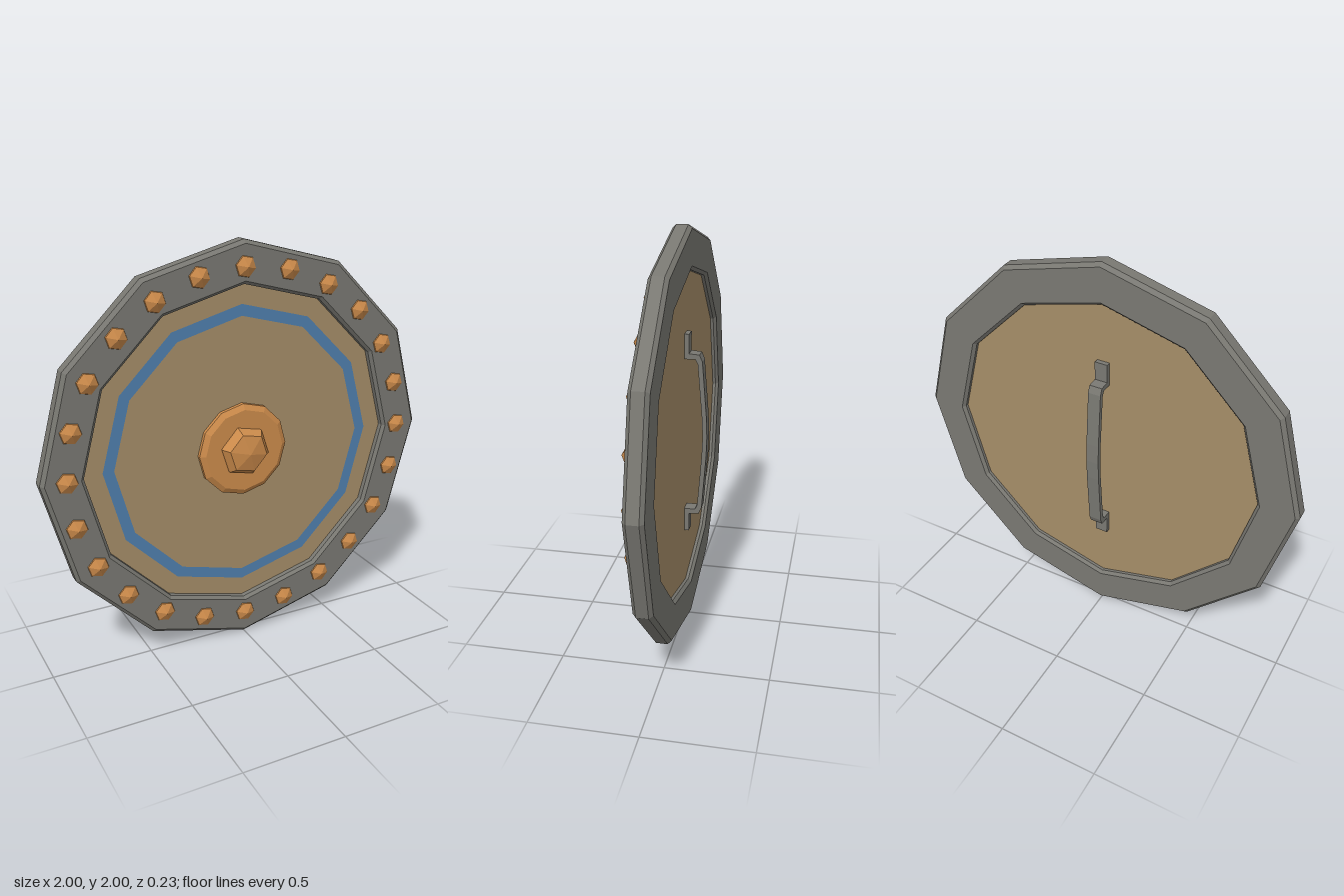
import * as THREE from 'three';

const steel = new THREE.MeshStandardMaterial({ name: 'steel grey', color: 0x797872 });
const wood = new THREE.MeshStandardMaterial({ name: 'wood tan', color: 0xa58d68 });
const copper = new THREE.MeshStandardMaterial({ name: 'copper', color: 0xcc8b4b });
const blue = new THREE.MeshStandardMaterial({ name: 'blue paint', color: 0x4f7fae });

// Faceted turned solid around the z axis; profile is [radius, z], outside edge running forward
function turned(profile, sides, turn = 0) {
  const points = profile.map(([r, z]) => new THREE.Vector2(r, z));
  const geometry = new THREE.LatheGeometry(points, sides).rotateX(Math.PI / 2).rotateZ(turn).toNonIndexed();
  geometry.computeVertexNormals();
  return geometry;
}

function add(parent, name, geometry, material) {
  const mesh = new THREE.Mesh(geometry, material);
  mesh.name = name;
  parent.add(mesh);
  return mesh;
}

export function createModel() {
  const model = new THREE.Group();
  model.name = 'roundShield';
  const shield = new THREE.Group();
  shield.name = 'shieldBody';
  shield.position.y = 1;
  model.add(shield);

  // Bevelled twelve-sided rim
  add(shield, 'rim', turned([
    [0.8, -0.02], [0.815, -0.035], [0.982, -0.035], [1, -0.018],
    [1, 0.038], [0.982, 0.055], [0.815, 0.055], [0.8, 0.04], [0.8, -0.02],
  ], 12), steel);

  // Recessed board and its painted ring
  add(shield, 'board', turned([[0, -0.005], [0.802, -0.005], [0.802, 0.015], [0, 0.015]], 12), wood);
  const stripe = add(shield, 'paintedRing', new THREE.RingGeometry(0.65, 0.705, 12), blue);
  stripe.position.z = 0.018;

  // Central boss: round plate with a six-sided stud
  const hexTurn = THREE.MathUtils.degToRad(18);
  add(shield, 'bossPlate', turned([[0.232, 0.012], [0.232, 0.034], [0.205, 0.05], [0, 0.05]], 12), copper);
  add(shield, 'bossStud', turned([[0.128, 0.045], [0.126, 0.06], [0.1, 0.093], [0, 0.115]], 6, hexTurn), copper);

  // Rivets around the rim
  const rivets = new THREE.Group();
  rivets.name = 'rivets';
  shield.add(rivets);
  const rivetShape = turned([[0.054, 0.052], [0.05, 0.06], [0, 0.085]], 6, hexTurn);
  for (let i = 0; i < 24; i++) {
    const a = (i / 24) * Math.PI * 2;
    const rivet = add(rivets, 'rivet', rivetShape, copper);
    rivet.position.set(Math.cos(a) * 0.88, Math.sin(a) * 0.88, 0);
  }

  // Bowed grip with flat feet, a mirrored side profile [z, y] extruded across x
  const outer = [[-0.115, 0], [-0.112, 0.1], [-0.091, 0.375], [-0.077, 0.408], [-0.028, 0.412], [-0.028, 0.505], [-0.004, 0.505]];
  const inner = [[-0.004, 0.385], [-0.058, 0.385], [-0.069, 0.362], [-0.09, 0.1], [-0.094, 0]];
  const half = [...outer, ...inner];
  const mirrored = half.slice(1, -1).reverse().map(([z, y]) => [z, -y]);
  const profile = new THREE.Shape([...half, ...mirrored].map(([z, y]) => new THREE.Vector2(z, y)));
  const grip = new THREE.ExtrudeGeometry(profile, { depth: 0.064, bevelEnabled: false });
  add(shield, 'handle', grip.translate(0, 0, -0.032).rotateY(-Math.PI / 2), steel);

  return model;
}
